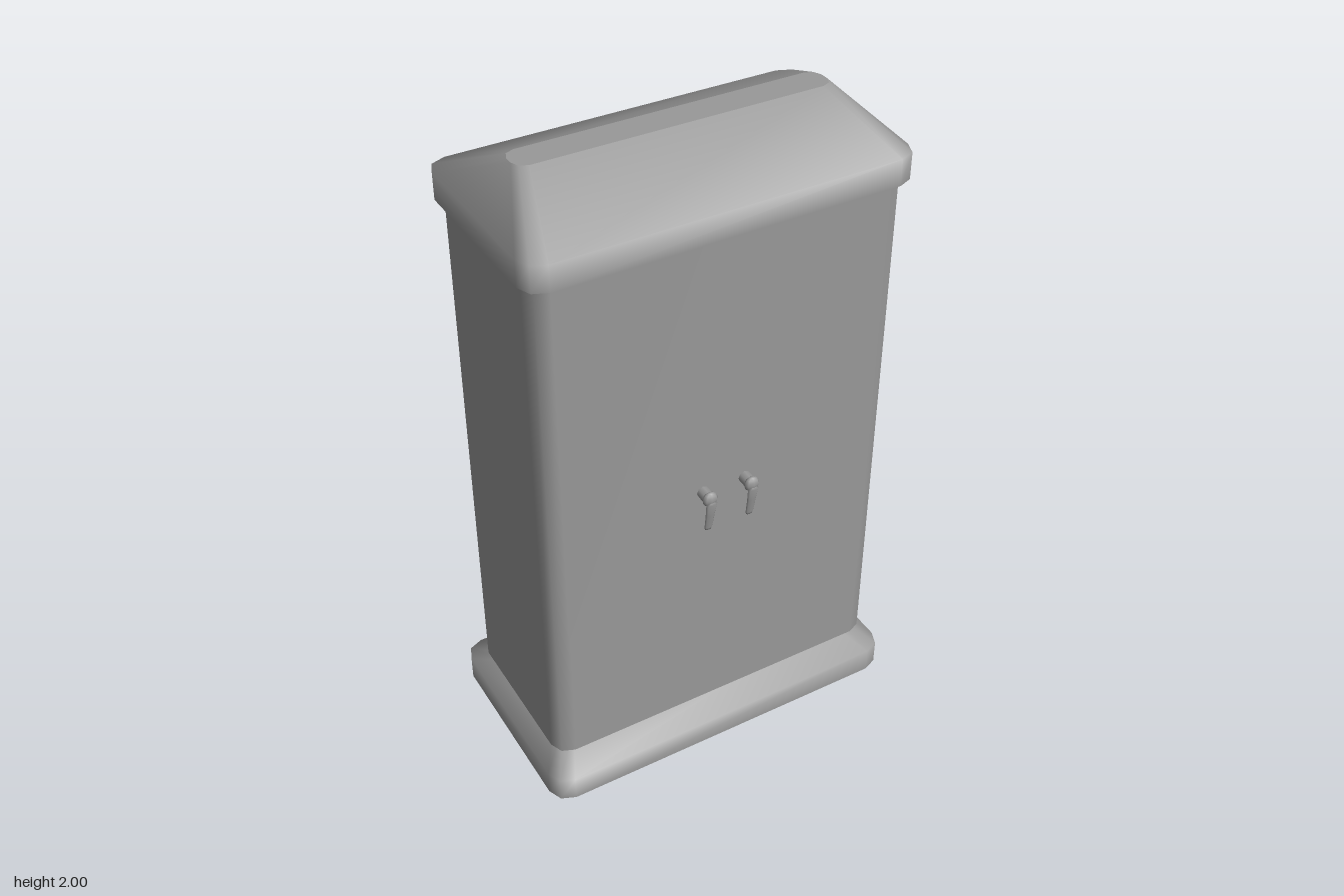
import * as THREE from 'three';

// Rounded-rectangle outline at height y, with two chamfer facets per corner
function ring(hx, hz, r, y, seg = 2) {
  const corners = [[1, 1], [-1, 1], [-1, -1], [1, -1]];
  const pts = [];
  corners.forEach(([sx, sz], c) => {
    for (let i = 0; i <= seg; i++) {
      const a = (c + i / seg) * Math.PI / 2;
      pts.push([sx * (hx - r) + Math.cos(a) * r, y, sz * (hz - r) + Math.sin(a) * r]);
    }
  });
  return pts;
}

// Smooth skin through a stack of rings (bottom to top), with sharp flat caps
function loft(rings) {
  const n = rings[0].length, pos = rings.flat(2), index = [];
  for (let k = 0; k < rings.length - 1; k++) {
    for (let i = 0; i < n; i++) {
      const j = (i + 1) % n, a = k * n + i, b = k * n + j;
      index.push(a, a + n, b, b, a + n, b + n);
    }
  }
  [rings[0], rings[rings.length - 1]].forEach((cap, top) => {
    const base = pos.length / 3;
    pos.push(...cap.flat());
    for (let i = 1; i < n - 1; i++) {
      if (top) index.push(base, base + i + 1, base + i);
      else index.push(base, base + i, base + i + 1);
    }
  });
  const geo = new THREE.BufferGeometry();
  geo.setAttribute('position', new THREE.Float32BufferAttribute(pos, 3));
  geo.setIndex(index);
  geo.computeVertexNormals();
  return geo;
}

export function createModel() {
  const model = new THREE.Group();
  model.name = 'cabinet';
  const mat = new THREE.MeshStandardMaterial({ color: 0x999999 });
  const add = (parent, name, geo) => {
    const mesh = new THREE.Mesh(geo, mat);
    mesh.name = name;
    parent.add(mesh);
    return mesh;
  };

  // Plinth with sloped shoulders, plain body, hipped roof with a narrow flat ridge
  add(model, 'plinth', loft([
    ring(0.6, 0.341, 0.062, 0), ring(0.6, 0.341, 0.062, 0.08), ring(0.52, 0.205, 0.05, 0.138)]));
  add(model, 'body', loft([ring(0.56, 0.28, 0.055, 0.136), ring(0.56, 0.28, 0.055, 1.801)]));
  add(model, 'roof', loft([
    ring(0.58, 0.307, 0.062, 1.8), ring(0.58, 0.307, 0.062, 1.88), ring(0.47, 0.047, 0.035, 2)]));

  // Door handles: a stout stem, a rounded head and a thin tapered lever hanging from it
  const stemGeo = new THREE.CylinderGeometry(0.019, 0.019, 0.045, 8).rotateX(Math.PI / 2);
  const headGeo = new THREE.SphereGeometry(0.024, 8, 8).scale(1, 1, 0.6);
  const leverGeo = new THREE.LatheGeometry([
    [0, -0.064], [0.01, -0.061], [0.013, -0.052], [0.015, 0], [0.018, 0.045], [0, 0.055],
  ].map(([x, y]) => new THREE.Vector2(x, y)), 8).scale(1, 1, 0.4);

  [1, -1].forEach((side) => {
    const pair = new THREE.Group();
    pair.name = side > 0 ? 'frontHandles' : 'backHandles';
    pair.rotation.y = side > 0 ? 0 : Math.PI;
    model.add(pair);
    for (const x of [-0.066 * side, 0.072 * side]) {
      add(pair, 'handleStem', stemGeo).position.set(x, 0.97, 0.297);
      add(pair, 'handleHead', headGeo).position.set(x, 0.972, 0.32);
      const lever = add(pair, 'handleLever', leverGeo);
      lever.position.set(x, 0.916, 0.322);
      lever.rotation.x = 0.17;
    }
  });
  return model;
}
